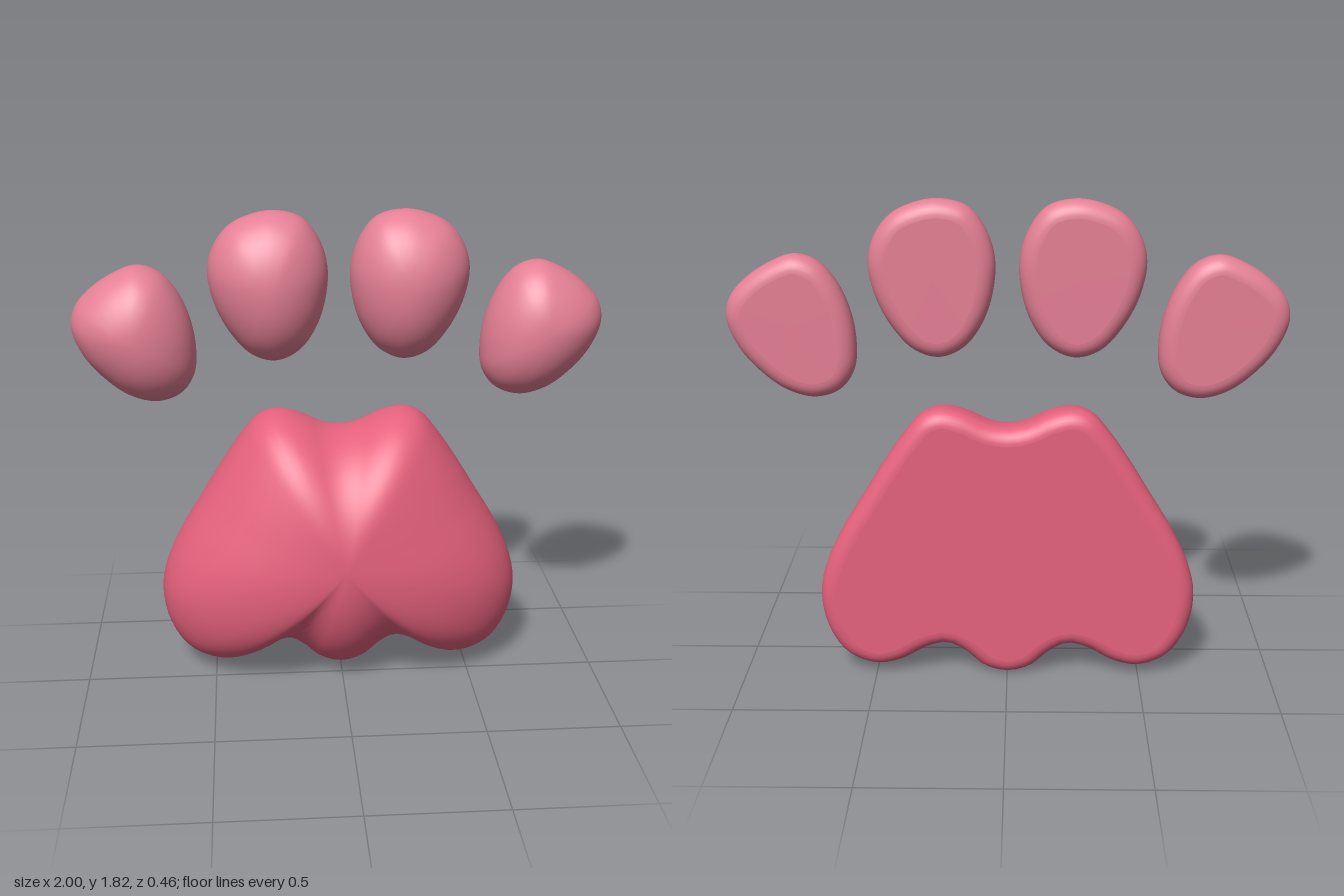
import * as THREE from 'three';

const BACK = -0.23, WIDEST = -0.17, SEGMENTS = 120, DOME = 28, BEVEL = 8;

// Right half of the palm outline, from top notch to bottom middle
const palmHalf = [[0, 0.985], [0.07, 0.997], [0.15, 1.035], [0.24, 1.055], [0.31, 1.035],
  [0.37, 0.97], [0.45, 0.855], [0.53, 0.725], [0.62, 0.575], [0.68, 0.445], [0.705, 0.32],
  [0.68, 0.18], [0.61, 0.075], [0.5, 0.03], [0.4, 0.05], [0.31, 0.1], [0.23, 0.12],
  [0.16, 0.085], [0.09, 0.025], [0, 0]];
const innerToe = [[0.24, 1.815], [0.33, 1.8], [0.41, 1.76], [0.465, 1.69], [0.49, 1.6],
  [0.47, 1.48], [0.41, 1.36], [0.33, 1.275], [0.24, 1.25], [0.15, 1.29], [0.08, 1.39],
  [0.045, 1.52], [0.045, 1.62], [0.08, 1.72], [0.14, 1.79]];
const outerToe = [[0.75, 1.62], [0.84, 1.59], [0.93, 1.53], [0.985, 1.465], [1, 1.39],
  [0.96, 1.285], [0.88, 1.19], [0.79, 1.125], [0.69, 1.1], [0.6, 1.13], [0.55, 1.2],
  [0.54, 1.3], [0.56, 1.42], [0.61, 1.53], [0.67, 1.595]];

const mirror = (pts) => pts.map(([x, y]) => [-x, y]);

// Domed pad: the outline shrinks to an apex in front and rounds over to a flat back
function padGeometry(outline, cx, cy, front, radius) {
  const curve = new THREE.CatmullRomCurve3(
    outline.map(([x, y]) => new THREE.Vector3(x, y, 0)), true, 'centripetal');
  let rim = curve.getSpacedPoints(SEGMENTS).slice(0, SEGMENTS);
  if (THREE.ShapeUtils.isClockWise(rim)) rim = rim.reverse();
  const inward = rim.map((p, i) => {
    const a = rim[(i + SEGMENTS - 1) % SEGMENTS], b = rim[(i + 1) % SEGMENTS];
    return new THREE.Vector2(a.y - b.y, b.x - a.x).normalize();
  });

  const pos = [], index = [];
  // Back edge rings, from the flat back to the widest outline
  for (let j = 0; j <= BEVEL; j++) {
    const a = (1 - j / BEVEL) * Math.PI / 2;
    const inset = radius * (1 - Math.cos(a));
    rim.forEach((p, i) => pos.push(p.x + inward[i].x * inset, p.y + inward[i].y * inset,
      WIDEST + (BACK - WIDEST) * Math.sin(a)));
  }
  // Dome rings
  for (let j = 1; j < DOME; j++) {
    const a = j / DOME * Math.PI / 2, s = Math.cos(a);
    rim.forEach((p) => pos.push(cx + (p.x - cx) * s, cy + (p.y - cy) * s,
      WIDEST + (front - WIDEST) * Math.sin(a)));
  }
  const rings = BEVEL + DOME, apex = rings * SEGMENTS;
  pos.push(cx, cy, front);
  // Flat back has its own vertices so that it stays flat
  const hub = apex + 1;
  pos.push(cx, cy, BACK);
  for (let i = 0; i < SEGMENTS; i++) pos.push(pos[i * 3], pos[i * 3 + 1], BACK);

  for (let i = 0; i < SEGMENTS; i++) {
    const n = (i + 1) % SEGMENTS;
    for (let j = 0; j < rings - 1; j++) {
      const a = j * SEGMENTS + i, b = j * SEGMENTS + n;
      index.push(a, b, b + SEGMENTS, a, b + SEGMENTS, a + SEGMENTS);
    }
    index.push((rings - 1) * SEGMENTS + i, (rings - 1) * SEGMENTS + n, apex);
    index.push(hub, hub + 1 + n, hub + 1 + i);
  }
  const geo = new THREE.BufferGeometry();
  geo.setAttribute('position', new THREE.Float32BufferAttribute(pos, 3));
  geo.setIndex(index);
  geo.computeVertexNormals();
  return geo;
}

export function createModel() {
  const group = new THREE.Group();
  group.name = 'paw';
  const palmPink = new THREE.MeshStandardMaterial({ color: 0xe6617d });
  palmPink.name = 'palm pink';
  const toePink = new THREE.MeshStandardMaterial({ color: 0xe47f94 });
  toePink.name = 'toe pink';

  const add = (name, geometry, material) => {
    const mesh = new THREE.Mesh(geometry, material);
    mesh.name = name;
    group.add(mesh);
  };

  // Palm pad
  const palm = [...palmHalf, ...mirror(palmHalf.slice(1, -1)).reverse()];
  add('palmPad', padGeometry(palm, 0, 0.52, 0.23, 0.06), palmPink);

  // Toe pads, mirrored left and right
  for (const [side, flip] of [['left', (p) => p], ['right', mirror]]) {
    const sx = side === 'left' ? 1 : -1;
    add(side + 'InnerToe', padGeometry(flip(innerToe), sx * 0.26, 1.54, 0.03, 0.06), toePink);
    add(side + 'OuterToe', padGeometry(flip(outerToe), sx * 0.765, 1.365, 0.03, 0.06), toePink);
  }
  return group;
}
